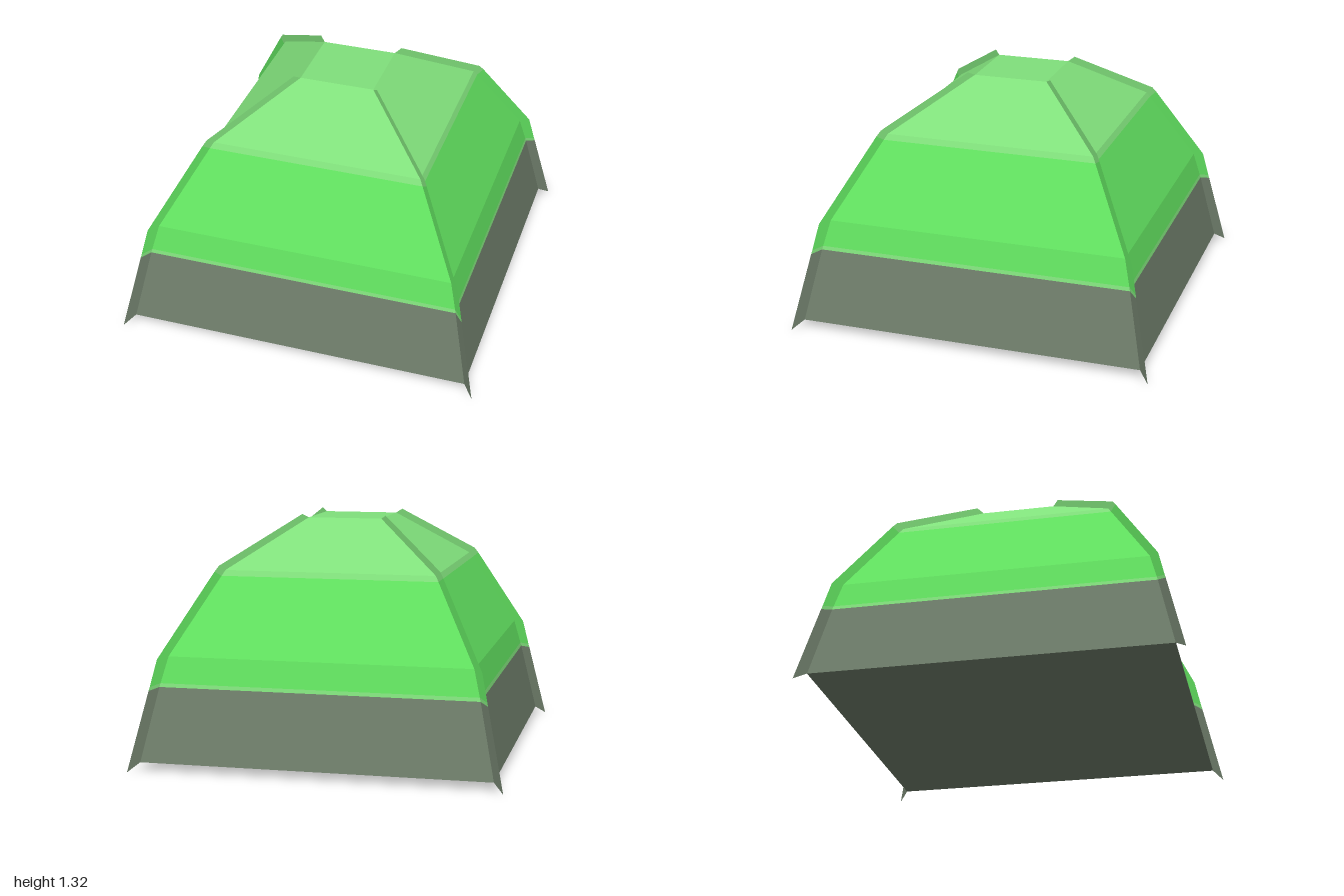
import * as THREE from 'three';

// Cross-sections from bottom to top: half width and height of the wall,
// half width and height of the outer edge of the corner fins,
// and the colour of the band that starts there.
const LEVELS = [
  [0.945, 0.045, 1.0, 0.0, 'grey'],
  [0.86, 0.44, 0.905, 0.425, 'light'],
  [0.855, 0.46, 0.9, 0.445, 'green'],
  [0.82, 0.6, 0.868, 0.59, 'green'],
  [0.592, 1.01, 0.622, 1.035, 'light'],
  [0.575, 1.04, 0.603, 1.065, 'light'],
  [0.205, 1.3, 0.235, 1.32, null],
];

export function createModel() {
  const model = new THREE.Group();
  model.name = 'dome';

  const makeMaterial = (name, color) =>
    new THREE.MeshStandardMaterial({ name, color, side: THREE.DoubleSide });
  const materials = {
    grey: makeMaterial('grey green', 0x6f7e6b),
    green: makeMaterial('bright green', 0x62e260),
    light: makeMaterial('pale green', 0x80df7b),
  };

  const add = (name, geometry, colour, parent) => {
    const mesh = new THREE.Mesh(geometry, materials[colour]);
    mesh.name = name;
    parent.add(mesh);
    return mesh;
  };

  // Four-sided wall bands
  const walls = new THREE.Group();
  walls.name = 'walls';
  model.add(walls);
  for (let i = 0; i < LEVELS.length - 1; i++) {
    const [r0, y0, , , colour] = LEVELS[i];
    const [r1, y1] = LEVELS[i + 1];
    const band = new THREE.CylinderGeometry(
      r1 * Math.SQRT2, r0 * Math.SQRT2, y1 - y0, 4, 1, true, Math.PI / 4
    ).toNonIndexed();
    band.computeVertexNormals();
    band.translate(0, (y0 + y1) / 2, 0);
    add('wallBand' + (i + 1), band, colour, walls);
  }

  // Flat roof and floor
  const [topR, topY] = LEVELS[LEVELS.length - 1];
  const [baseR, baseY] = LEVELS[0];
  const roof = new THREE.PlaneGeometry(2 * topR, 2 * topR).rotateX(-Math.PI / 2);
  add('roof', roof.translate(0, topY, 0), 'light', model);
  const floor = new THREE.PlaneGeometry(2 * baseR, 2 * baseR).rotateX(Math.PI / 2);
  add('floor', floor.translate(0, baseY, 0), 'grey', model);

  // Thin fins standing along the four corner edges
  for (let corner = 0; corner < 4; corner++) {
    const fin = new THREE.Group();
    fin.name = 'cornerFin' + (corner + 1);
    fin.rotation.y = Math.PI / 4 + (corner * Math.PI) / 2;
    model.add(fin);
    for (let i = 0; i < LEVELS.length - 1; i++) {
      const [a, ay, b, by, colour] = LEVELS[i];
      const [c, cy, d, dy] = LEVELS[i + 1];
      const outline = [[a, ay], [b, by], [d, dy], [c, cy]].map(
        ([r, y]) => new THREE.Vector2(r * Math.SQRT2, y)
      );
      add('finBand' + (i + 1), new THREE.ShapeGeometry(new THREE.Shape(outline)), colour, fin);
    }
  }

  return model;
}
